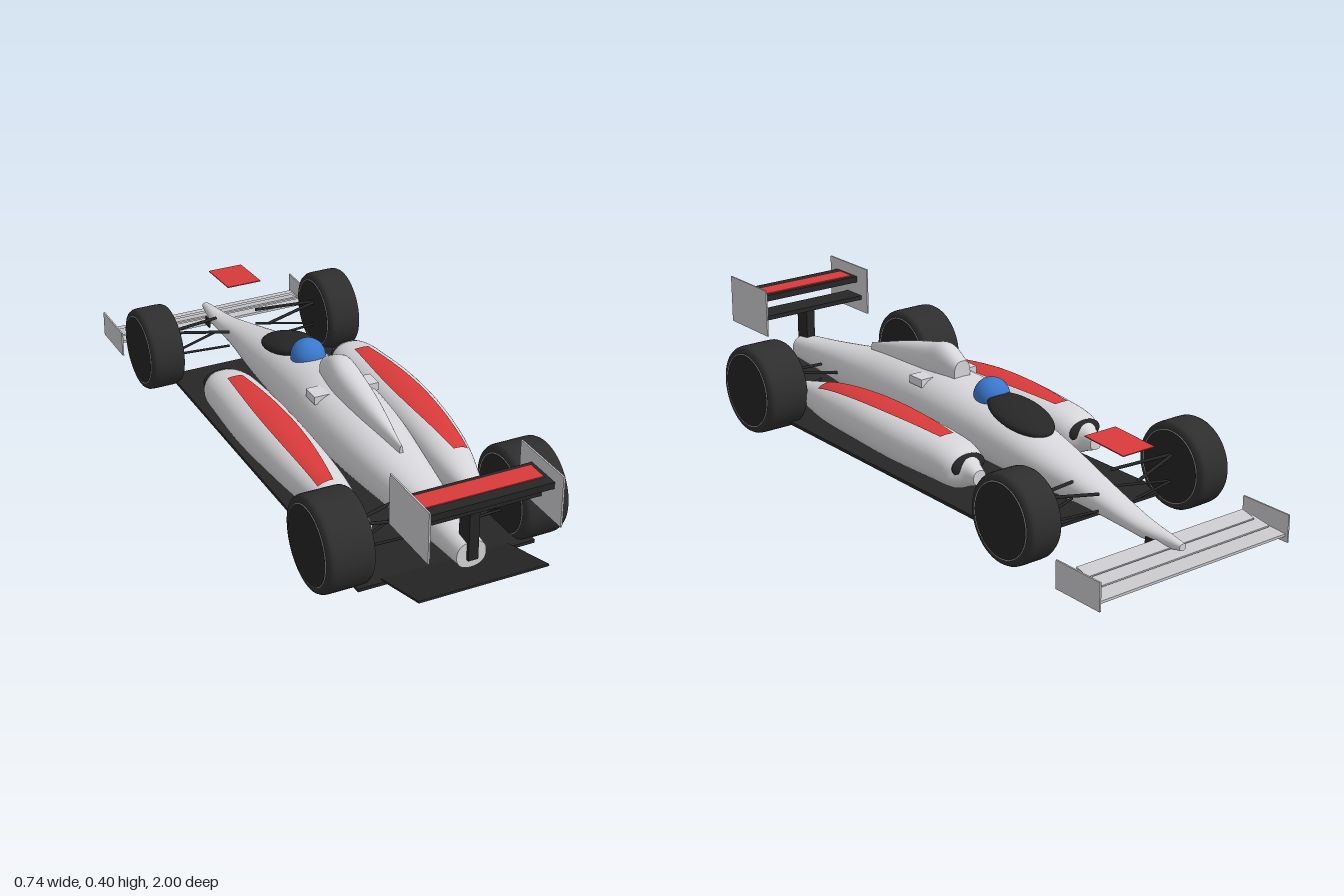
import * as THREE from 'three';

const mat = (name, color, opts = {}) => Object.assign(new THREE.MeshStandardMaterial({ color, ...opts }), { name });

// Smooth interpolation of rows [z, a, b, ...] at a given z
function sample(rows, z) {
  let i = 0;
  while (i < rows.length - 2 && z > rows[i + 1][0]) i++;
  const p = rows[i], q = rows[i + 1];
  const o = rows[Math.max(i - 1, 0)], r = rows[Math.min(i + 2, rows.length - 1)];
  const h = q[0] - p[0], t = (z - p[0]) / h;
  return p.map((v, k) => {
    if (k === 0) return z;
    const m0 = (q[k] - o[k]) / (q[0] - o[0]), m1 = (r[k] - p[k]) / (r[0] - p[0]);
    const t2 = t * t, t3 = t2 * t;
    return (2 * t3 - 3 * t2 + 1) * v + (t3 - 2 * t2 + t) * h * m0 +
      (3 * t2 - 2 * t3) * q[k] + (t3 - t2) * h * m1;
  });
}

// Closed skin along z through superellipse sections [z, cx, cy, hx, hy]
function loft(rows, power = 2.3, steps = 48, sides = 40) {
  const pos = [], idx = [];
  const z0 = rows[0][0], z1 = rows[rows.length - 1][0];
  const rounded = (v) => Math.sign(v) * Math.abs(v) ** (2 / power);
  const ring = (z) => {
    const [, cx, cy, hx, hy] = sample(rows, z);
    for (let j = 0; j < sides; j++) {
      const a = (j / sides) * Math.PI * 2;
      pos.push(cx + hx * rounded(Math.cos(a)), cy + hy * rounded(Math.sin(a)), z);
    }
    return [cx, cy, z];
  };
  for (let i = 0; i <= steps; i++) ring(z0 + (z1 - z0) * i / steps);
  for (let i = 0; i < steps; i++) for (let j = 0; j < sides; j++) {
    const a = i * sides + j, b = i * sides + (j + 1) % sides;
    idx.push(a, b, a + sides, b, b + sides, a + sides);
  }
  for (const [z, front] of [[z0, false], [z1, true]]) {
    const s = pos.length / 3;
    pos.push(...ring(z));
    for (let j = 0; j < sides; j++) {
      const a = s + j, b = s + (j + 1) % sides;
      idx.push(s + sides, front ? a : b, front ? b : a);
    }
  }
  return build(pos, idx);
}

function build(pos, idx) {
  const g = new THREE.BufferGeometry();
  g.setAttribute('position', new THREE.Float32BufferAttribute(pos, 3));
  g.setIndex(idx);
  g.computeVertexNormals();
  return g;
}

export function createModel() {
  const car = new THREE.Group();
  car.name = 'raceCar';
  const white = mat('bodyWhite', 0xd6d6da);
  const silver = mat('wingSilver', 0xc9c9cd);
  const red = mat('red', 0xd83a3a, { side: THREE.DoubleSide });
  const black = mat('carbonBlack', 0x262626);
  const rubber = mat('tyreRubber', 0x2e2e2e);
  const hubMat = mat('hubDark', 0x222222);
  const blue = mat('helmetBlue', 0x3a78cc);

  const add = (name, geo, m, x = 0, y = 0, z = 0) => {
    const mesh = new THREE.Mesh(geo, m);
    mesh.name = name;
    mesh.position.set(x, y, z);
    car.add(mesh);
    return mesh;
  };
  const box = (name, m, w, h, d, x, y, z) => add(name, new THREE.BoxGeometry(w, h, d), m, x, y, z);
  const ball = (name, m, sx, sy, sz, x, y, z) => {
    const b = add(name, new THREE.SphereGeometry(1, 32, 20), m, x, y, z);
    b.scale.set(sx, sy, sz);
    return b;
  };
  const rod = (name, a, b, r = 0.005) => {
    const curve = new THREE.LineCurve3(new THREE.Vector3(...a), new THREE.Vector3(...b));
    add(name, new THREE.TubeGeometry(curve, 1, r, 8), black);
  };

  // Main body: [z, bottom, top, half width]
  const hull = [
    [-0.94, 0.064, 0.084, 0.012], [-0.9, 0.057, 0.091, 0.018], [-0.82, 0.053, 0.1, 0.03],
    [-0.75, 0.06, 0.113, 0.038], [-0.6, 0.07, 0.155, 0.055], [-0.4, 0.075, 0.21, 0.085],
    [-0.2, 0.08, 0.255, 0.105], [0, 0.085, 0.285, 0.12], [0.1, 0.085, 0.288, 0.124],
    [0.3, 0.085, 0.275, 0.112], [0.5, 0.09, 0.245, 0.087], [0.7, 0.1, 0.214, 0.06], [0.88, 0.11, 0.19, 0.045],
  ].map(([z, lo, hi, w]) => [z, 0, (lo + hi) / 2, w, (hi - lo) / 2]);
  add('body', loft(hull, 2.3, 64), white);

  // Engine cover with air intake, and its side fins
  add('engineCover', loft([
    [0.016, 0, 0.295, 0.03, 0.04], [0.09, 0, 0.305, 0.042, 0.065], [0.16, 0, 0.295, 0.045, 0.062],
    [0.3, 0, 0.27, 0.035, 0.053], [0.48, 0, 0.24, 0.006, 0.03],
  ], 2.4, 30), white);
  for (const s of [1, -1]) box('coverFin', white, 0.055, 0.025, 0.06, s * 0.077, 0.267, 0.11);

  // Cockpit and driver
  ball('cockpit', black, 0.078, 0.028, 0.125, 0, 0.247, -0.26).rotation.x = -0.22;
  ball('helmet', blue, 0.054, 0.054, 0.054, 0, 0.269, -0.125);

  // Side pods: [z, cx, cy, half width, half height]
  const pod = [
    [-0.345, 0.218, 0.133, 0.022, 0.022], [-0.305, 0.218, 0.137, 0.035, 0.042], [-0.288, 0.218, 0.138, 0.055, 0.052],
    [-0.265, 0.216, 0.14, 0.07, 0.06], [-0.2, 0.214, 0.145, 0.08, 0.066], [0, 0.217, 0.15, 0.088, 0.072],
    [0.2, 0.213, 0.149, 0.083, 0.07], [0.4, 0.2, 0.135, 0.068, 0.06], [0.6, 0.18, 0.112, 0.03, 0.034],
  ];
  // Red panel lying on top of a pod
  const panel = (s) => {
    const pos = [], idx = [], nz = 32, nx = 10;
    for (let i = 0; i <= nz; i++) {
      const u = i / nz, z = -0.19 + 0.63 * u;
      const [, cx, cy, hx, hy] = sample(pod, z);
      const w = 0.024 + 0.02 * Math.sin(Math.PI * u);
      for (let j = 0; j <= nx; j++) {
        const x = 0.215 + w * (2 * j / nx - 1);
        const k = Math.min(Math.abs(x - cx) / hx, 0.98);
        pos.push(s * x, cy + hy * (1 - k ** 2.3) ** (1 / 2.3) + 0.004, z);
        if (i < nz && j < nx) {
          const a = i * (nx + 1) + j, c = a + nx + 1;
          idx.push(...(s > 0 ? [a, c, a + 1, a + 1, c, c + 1] : [a, a + 1, c, a + 1, c + 1, c]));
        }
      }
    }
    return build(pos, idx);
  };
  for (const s of [1, -1]) {
    add('sidePod', loft(pod.map(([z, cx, ...r]) => [z, s * cx, ...r]), 2.3, 64), white);
    add('podPanel', panel(s), red);
    ball('podInlet', black, 0.058, 0.034, 0.014, s * 0.218, 0.156, -0.292);
  }

  // Floor and upswept diffuser
  box('floor', black, 0.55, 0.01, 1.34, 0, 0.041, 0.09);
  box('diffuser', black, 0.395, 0.006, 0.217, 0, 0.074, 0.85).rotation.x = -0.27;

  // Wheels with hubs, rim rings and wishbones
  const wheel = (s, z, y, r, x0, x1) => {
    const g = new THREE.Group();
    g.name = 'wheel';
    const h = (x1 - x0) / 2, b = 0.012;
    const profile = [[0, -h], [r - 0.018, -h], [r - 0.006, -h + 0.003], [r - 0.001, -h + b], [r, -h + 2 * b],
      [r, h - 2 * b], [r - 0.001, h - b], [r - 0.006, h - 0.003], [r - 0.018, h], [0, h]];
    const tyre = new THREE.Mesh(new THREE.LatheGeometry(profile.map((p) => new THREE.Vector2(...p)), 48), rubber);
    tyre.name = 'tyre';
    g.add(tyre);
    for (const e of [1, -1]) {
      const hub = new THREE.Mesh(new THREE.CylinderGeometry(r * 0.82, r * 0.82, 0.003, 40), hubMat);
      hub.name = 'hub';
      hub.position.y = e * h;
      const rim = new THREE.Mesh(new THREE.TorusGeometry(r * 0.83, 0.0016, 6, 48), silver);
      rim.name = 'rimRing';
      rim.rotation.x = Math.PI / 2;
      rim.position.y = e * h;
      g.add(hub, rim);
    }
    g.rotation.z = Math.PI / 2;
    g.position.set(s * (x0 + x1) / 2, y, z);
    car.add(g);
  };
  for (const s of [1, -1]) {
    wheel(s, 0.643, 0.143, 0.14, 0.229, 0.37);
    wheel(s, -0.618, 0.137, 0.131, 0.254, 0.364);
    for (const [zIn, zOut, xIn, xOut] of [[-0.68, -0.622, 0.07, 0.26], [-0.57, -0.618, 0.07, 0.26],
      [0.57, 0.64, 0.07, 0.235], [0.675, 0.648, 0.07, 0.235]]) {
      rod('upperArm', [s * xIn, 0.158, zIn], [s * xOut, 0.174, zOut]);
      rod('lowerArm', [s * xIn, 0.108, zIn], [s * xOut, 0.093, zOut], 0.004);
    }
  }

  // Nose wing: stacked planes, end plates and mounts
  box('noseWingMain', silver, 0.69, 0.008, 0.12, 0, 0.036, -0.93).rotation.x = -0.06;
  box('noseWingFlap', silver, 0.65, 0.005, 0.065, 0, 0.053, -0.913).rotation.x = -0.15;
  box('noseWingFlap', silver, 0.61, 0.005, 0.047, 0, 0.068, -0.883).rotation.x = -0.25;
  for (const s of [1, -1]) {
    box('noseEndPlate', silver, 0.005, 0.083, 0.173, s * 0.344, 0.054, -0.913);
    box('noseWingMount', black, 0.006, 0.03, 0.03, s * 0.032, 0.06, -0.845);
  }

  // Tail wing: two planes, stripe, end plates and pylon
  box('tailWingLower', black, 0.39, 0.014, 0.08, 0, 0.297, 0.86);
  box('tailWingUpper', black, 0.39, 0.02, 0.115, 0, 0.355, 0.902);
  box('tailWingStripe', red, 0.365, 0.005, 0.066, 0, 0.3655, 0.892);
  box('tailPylon', black, 0.03, 0.155, 0.055, 0, 0.215, 0.863);
  for (const s of [1, -1]) box('tailEndPlate', silver, 0.005, 0.153, 0.213, s * 0.197, 0.325, 0.893);

  // Raised panel over the nose
  box('nosePanel', red, 0.114, 0.003, 0.158, 0, 0.295, -0.68).rotation.x = -0.06;
  return car;
}
